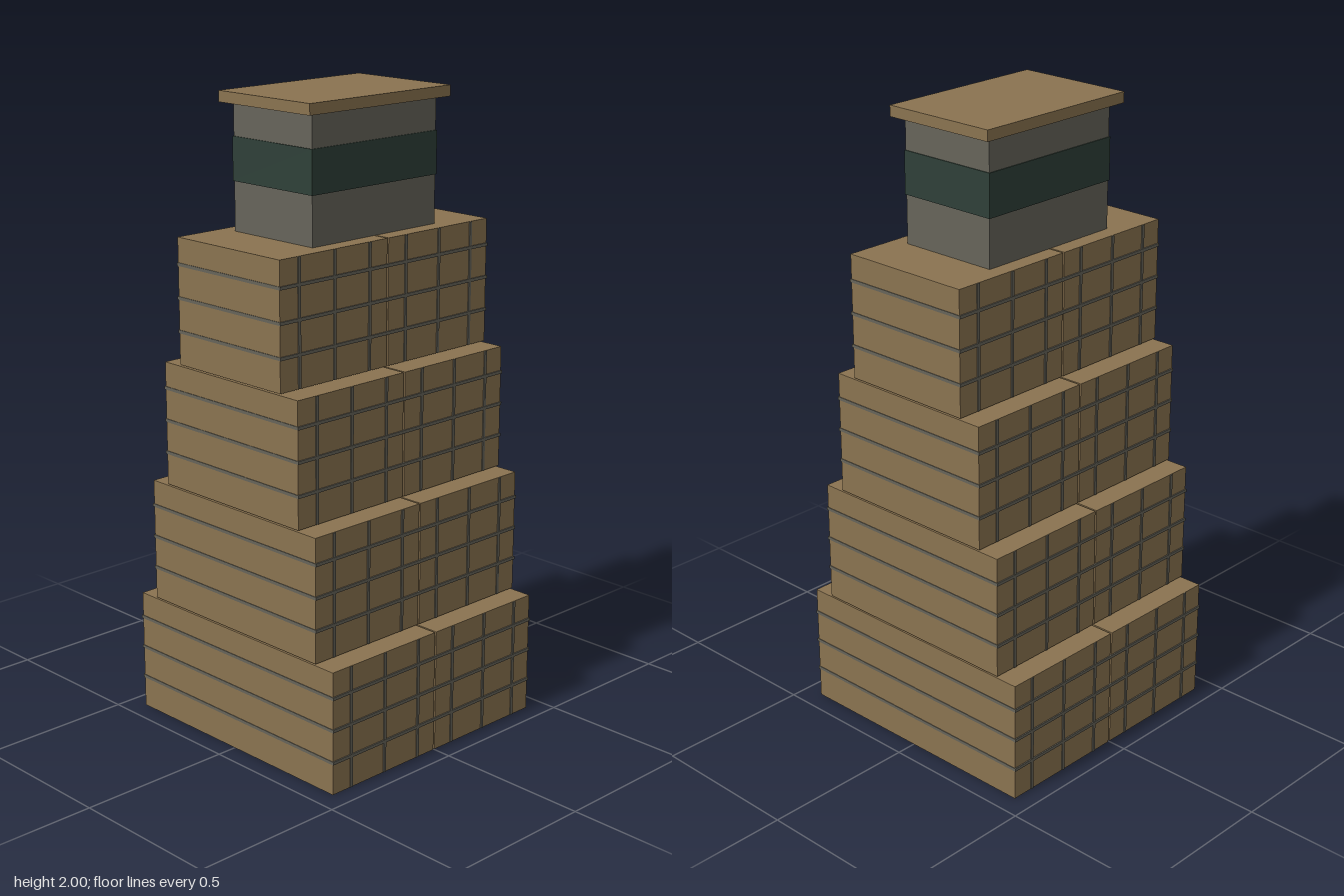
import * as THREE from 'three';

export function createModel() {
  const model = new THREE.Group();
  model.name = 'steppedTower';

  const material = (name, color) => {
    const m = new THREE.MeshStandardMaterial({ color });
    m.name = name;
    return m;
  };
  const brown = material('brown stone', 0x8a7350);
  const grey = material('warm grey', 0x66645a);
  const green = material('dark green glass', 0x2f4038);

  // Box given by its size, its bottom and its x centre
  const box = (parent, name, mat, w, h, d, bottom, x = 0) => {
    const mesh = new THREE.Mesh(new THREE.BoxGeometry(w, h, d), mat);
    mesh.name = name;
    mesh.position.set(x, bottom + h / 2, 0);
    parent.add(mesh);
  };

  const step = 0.396;
  const height = 0.391;
  const halfWidth = 0.435;
  const gap = 0.006;
  const joint = 0.01;
  const depths = [0.874, 0.73, 0.588, 0.444];

  // Four tiers, each of two halves with a narrow slit between them
  depths.forEach((depth, i) => {
    const tier = new THREE.Group();
    tier.name = `tier${i + 1}`;
    tier.position.y = i * step;
    model.add(tier);

    for (const side of [-1, 1]) {
      const w = halfWidth - gap / 2;
      box(tier, 'towerHalf', brown, w, height, depth, 0, side * (gap / 2 + w / 2));
      // Upright joints showing on the front and back
      for (const x of [0.076, 0.219, 0.36]) {
        box(tier, 'uprightJoint', grey, joint, height - 0.002, depth + 0.006, 0.001, side * x);
      }
    }
    // Floor joints running all the way round
    for (const y of [0.103, 0.206, 0.309]) {
      box(tier, 'floorJoint', grey, halfWidth * 2 + 0.004, joint, depth + 0.008, y - joint / 2);
    }
  });

  // Top storey with its window band and flat roof
  box(model, 'topStorey', grey, 0.512, 0.387, 0.336, 1.579);
  box(model, 'windowBand', green, 0.518, 0.134, 0.342, 1.731);
  box(model, 'roof', brown, 0.58, 0.034, 0.39, 1.966);

  return model;
}
